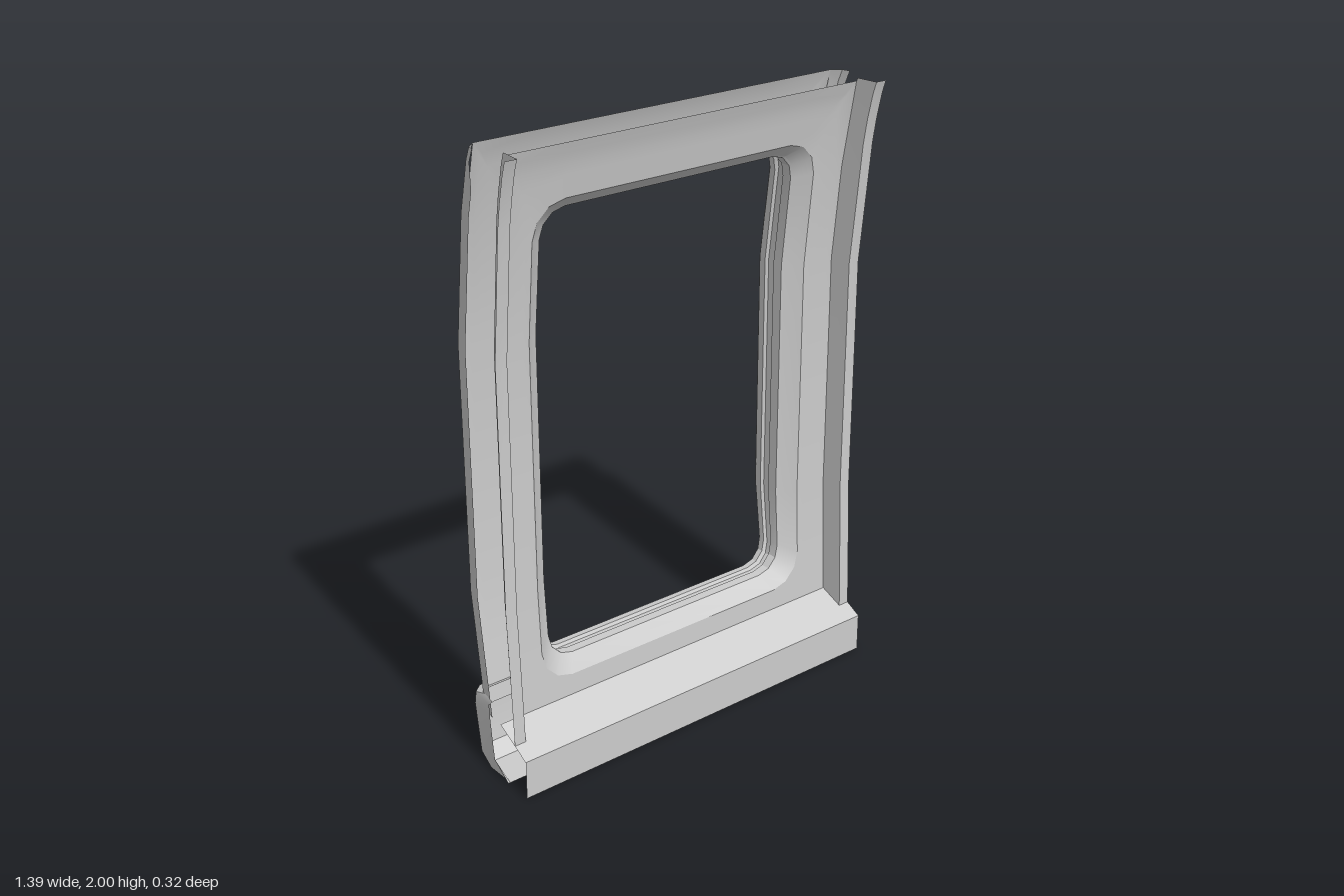
import * as THREE from 'three';
import { toCreasedNormals } from 'three/addons/utils/BufferGeometryUtils.js';

const material = new THREE.MeshStandardMaterial({ color: 0xcccccc, side: THREE.DoubleSide });

// Piecewise linear curve through [y, z] points
const curve = (pts) => (y) => {
  let i = 1;
  while (i < pts.length - 1 && y > pts[i][0]) i++;
  const [a, b] = [pts[i - 1], pts[i]];
  return a[1] + (b[1] - a[1]) * (y - a[0]) / (b[0] - a[0]);
};
// Bowed side profiles of the inner (front) and outer (back) skins
const innerZ = curve([[0.2, 0.02], [0.6, 0], [1.4, 0], [1.8, 0.04], [1.93, 0.062], [2, 0.085]]);
const outerZ = curve([[0.2, -0.1], [0.6, -0.15], [1.4, -0.15], [1.8, -0.1], [1.96, -0.062], [2, -0.045]]);
const depthZ = (y, t) => THREE.MathUtils.lerp(innerZ(y), outerZ(y), t);
const levels = [0.2, 0.4, 0.6, 1, 1.4, 1.6, 1.8, 1.88, 1.96, 2];

// Surface through rows of [x, y, z] points
function loft(name, rows, closed = false) {
  const n = rows[0].length, index = [];
  for (let i = 0; i < rows.length - 1; i++) {
    for (let j = 0; j < (closed ? n : n - 1); j++) {
      const k = (j + 1) % n, a = i * n + j, b = i * n + k;
      index.push(a, b, a + n, b, b + n, a + n);
    }
  }
  const geo = new THREE.BufferGeometry();
  geo.setAttribute('position', new THREE.Float32BufferAttribute(rows.flat(2), 3));
  geo.setIndex(index);
  const mesh = new THREE.Mesh(toCreasedNormals(geo, 0.35), material);
  mesh.name = name;
  return mesh;
}

// Window outline with facetted corners; 'edge' also gives the matching panel border
function windowLoop(w, y0, y1, r, edge) {
  const pts = [];
  const corners = [[1, y0 + r, -1], [1, y1 - r, 1], [-1, y1 - r, 1], [-1, y0 + r, -1]];
  corners.forEach(([s, cy, v], q) => {
    for (let k = 0; k <= 3; k++) {
      const a = (q - 1 + k / 3) * Math.PI / 2;
      let x = s * (w - r) + r * Math.cos(a), y = cy + r * Math.sin(a);
      if (edge) {
        const onSide = k === (q % 2 ? 0 : 3), onEnd = k === (q % 2 ? 3 : 0);
        if (!onEnd) x = s * edge.w;
        if (!onSide) y = v > 0 ? edge.top : edge.bottom;
      }
      pts.push([x, y]);
    }
    const x = s * (edge ? edge.w : w);
    if (q === 0) [0.6, 1, 1.4].forEach((y) => pts.push([x, y]));
    if (q === 2) [1.4, 1, 0.6].forEach((y) => pts.push([x, y]));
  });
  return pts;
}

// Bowed panel between the window opening and a rectangular border
function panel(name, z, win, edge) {
  const a = windowLoop(...win), b = windowLoop(...win, edge), rows = [];
  for (let i = 0; i <= 5; i++) {
    rows.push(a.map(([x, y], j) => {
      const py = y + (b[j][1] - y) * i / 5;
      return [x + (b[j][0] - x) * i / 5, py, z(py)];
    }));
  }
  return loft(name, rows, true);
}

export function createModel() {
  const group = new THREE.Group();

  // Inner and outer skins with the window opening
  group.add(panel('innerPanel', innerZ, [0.53, 0.27, 1.82, 0.11], { w: 0.65, top: 1.99, bottom: 0.2 }));
  group.add(panel('outerPanel', outerZ, [0.505, 0.285, 1.815, 0.08], { w: 0.66, top: 2, bottom: 0.2 }));

  // Sloped window reveal, stepped seal and raised outer rim: [halfWidth, bottom, top, radius, depth]
  const reveal = [
    [0.53, 0.27, 1.82, 0.11, 0], [0.483, 0.315, 1.785, 0.09, 0.27], [0.475, 0.32, 1.78, 0.085, 0.3],
    [0.475, 0.32, 1.78, 0.085, 0.55], [0.488, 0.307, 1.793, 0.08, 0.6], [0.488, 0.307, 1.793, 0.08, 0.8],
    [0.478, 0.317, 1.783, 0.08, 0.84], [0.48, 0.315, 1.785, 0.08, 1.02], [0.488, 0.305, 1.795, 0.08, 1.09],
    [0.5, 0.29, 1.81, 0.08, 1.09], [0.508, 0.282, 1.818, 0.08, 1.04], [0.508, 0.282, 1.818, 0.08, 0.97],
  ];
  group.add(loft('windowFrame', reveal.map(([w, y0, y1, r, t]) =>
    windowLoop(w, y0, y1, r).map(([x, y]) => [x, y, depthZ(y, t)])), true));

  for (const s of [1, -1]) {
    const side = s > 0 ? 'left' : 'right';
    // Ridge standing forward of the inner panel, ending on the sloped sill
    group.add(loft(side + 'InnerRidge', levels.map((y, i) => {
      const z = innerZ(y), low = i === 0 ? 0.16 : y;
      return [[s * 0.65, y, z], [s * 0.657, low, z + 0.075], [s * 0.697, low, z + 0.075]];
    })));
    // Chamfered return along the side of the outer panel
    group.add(loft(side + 'OuterReturn', levels.map((y) => {
      const z = outerZ(y);
      const d = y > 1.9 ? 0.05 : 0.073;
      return [[s * 0.66, y, z], [s * 0.688, y, z + 0.024], [s * 0.695, y, z + d]];
    })));
  }

  // Sloped sill and vertical plate at the inner foot
  const sill = [[0.2, 0.02], [0.13, 0.15], [0, 0.15]];
  group.add(loft('innerSill', sill.map(([y, z]) => [[-0.697, y, z], [0.697, y, z]])));

  // Outer skirt: main profile [y, z], chamfered ends and end caps
  const skirt = [[0, 0.05], [0, -0.08], [0.035, -0.13], [0.2, -0.155], [0.245, -0.147], [0.265, -0.09]];
  const capFront = [[0, 0.05], [0.05, -0.02], [0.1, -0.027], [0.2, -0.038], [0.24, -0.04], [0.26, -0.02]];
  const section = (x, pts, shift) => pts.map(([y, z], i) => [x, y, i > 0 ? z + shift : z]);
  group.add(loft('outerSkirt', [
    section(-0.697, capFront, 0), section(-0.69, skirt, 0.025), section(-0.66, skirt, 0),
    section(0.66, skirt, 0), section(0.69, skirt, 0.025), section(0.697, capFront, 0),
  ]));

  return group;
}
